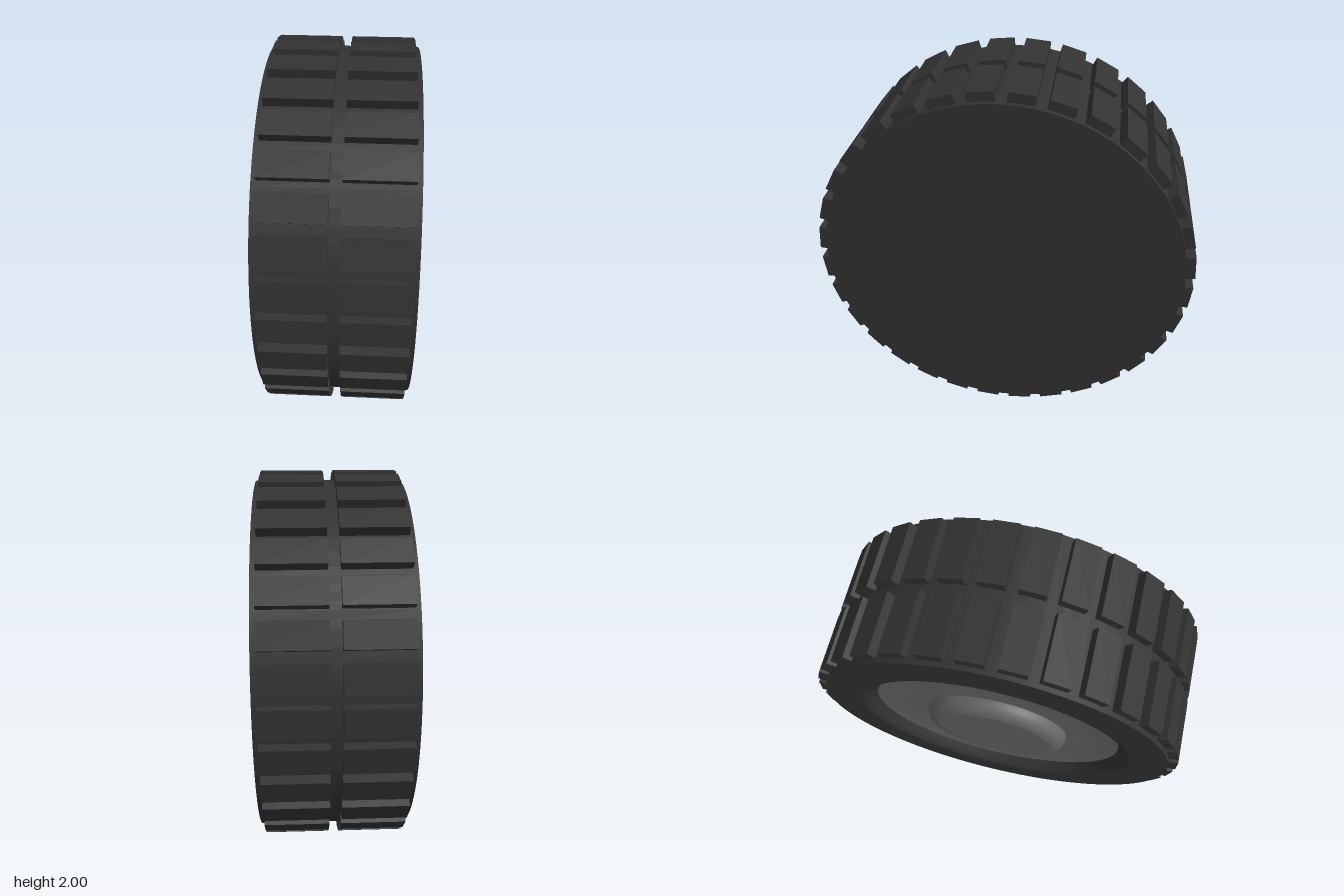
import * as THREE from 'three';

const SEGMENTS = 72;
const TREADS = 32;

export function createModel() {
  const rubber = new THREE.MeshStandardMaterial({ color: 0x333333 });
  rubber.name = 'rubber';
  const metal = new THREE.MeshStandardMaterial({ color: 0x666666 });
  metal.name = 'rimGrey';

  const wheel = new THREE.Group();
  wheel.name = 'wheel';

  // Revolved strip about the axle; points are [radius, distance towards -x].
  // Each strip is smooth in itself, and edges between strips stay sharp.
  function revolve(parent, name, points, material) {
    const profile = points.map(([r, h]) => new THREE.Vector2(r, h));
    const mesh = new THREE.Mesh(new THREE.LatheGeometry(profile, SEGMENTS), material);
    mesh.name = name;
    mesh.rotation.z = Math.PI / 2;
    parent.add(mesh);
  }

  // Tyre body: closed back, rolling surface, open sidewall and rounded lip
  const tyre = new THREE.Group();
  tyre.name = 'tyre';
  revolve(tyre, 'backFace', [[0, -0.38], [0.95, -0.38]], rubber);
  revolve(tyre, 'rollingSurface', [[0.95, -0.38], [0.95, 0.377]], rubber);
  revolve(tyre, 'sidewall', [[0.95, 0.377], [0.75, 0.377]], rubber);
  revolve(tyre, 'innerLip',
    [[0.75, 0.377], [0.73, 0.371], [0.71, 0.355], [0.69, 0.33], [0.665, 0.3]], rubber);
  wheel.add(tyre);

  // Rim: shallow dish with a raised, rounded hub cap
  const rim = new THREE.Group();
  rim.name = 'rim';
  revolve(rim, 'rimDish',
    [[0.68, 0.318], [0.62, 0.311], [0.54, 0.306], [0.46, 0.305], [0.38, 0.308]], metal);
  revolve(rim, 'hubShoulder',
    [[0.39, 0.305], [0.388, 0.335], [0.375, 0.36], [0.35, 0.378], [0.315, 0.385]], metal);
  revolve(rim, 'hubFace', [[0.315, 0.385], [0, 0.385]], metal);
  wheel.add(rim);

  // Two rows of tread blocks
  const treads = new THREE.Group();
  treads.name = 'treads';
  const block = new THREE.BoxGeometry(0.325, 0.07, 0.132);
  for (const x of [-0.19, 0.192]) {
    for (let i = 0; i < TREADS; i++) {
      const angle = ((i + 0.5) / TREADS) * Math.PI * 2;
      const mesh = new THREE.Mesh(block, rubber);
      mesh.name = 'treadBlock';
      mesh.position.set(x, Math.cos(angle) * 0.963, Math.sin(angle) * 0.963);
      mesh.rotation.x = angle;
      treads.add(mesh);
    }
  }
  wheel.add(treads);

  wheel.position.y = 1;
  const model = new THREE.Group();
  model.name = 'model';
  model.add(wheel);
  return model;
}
